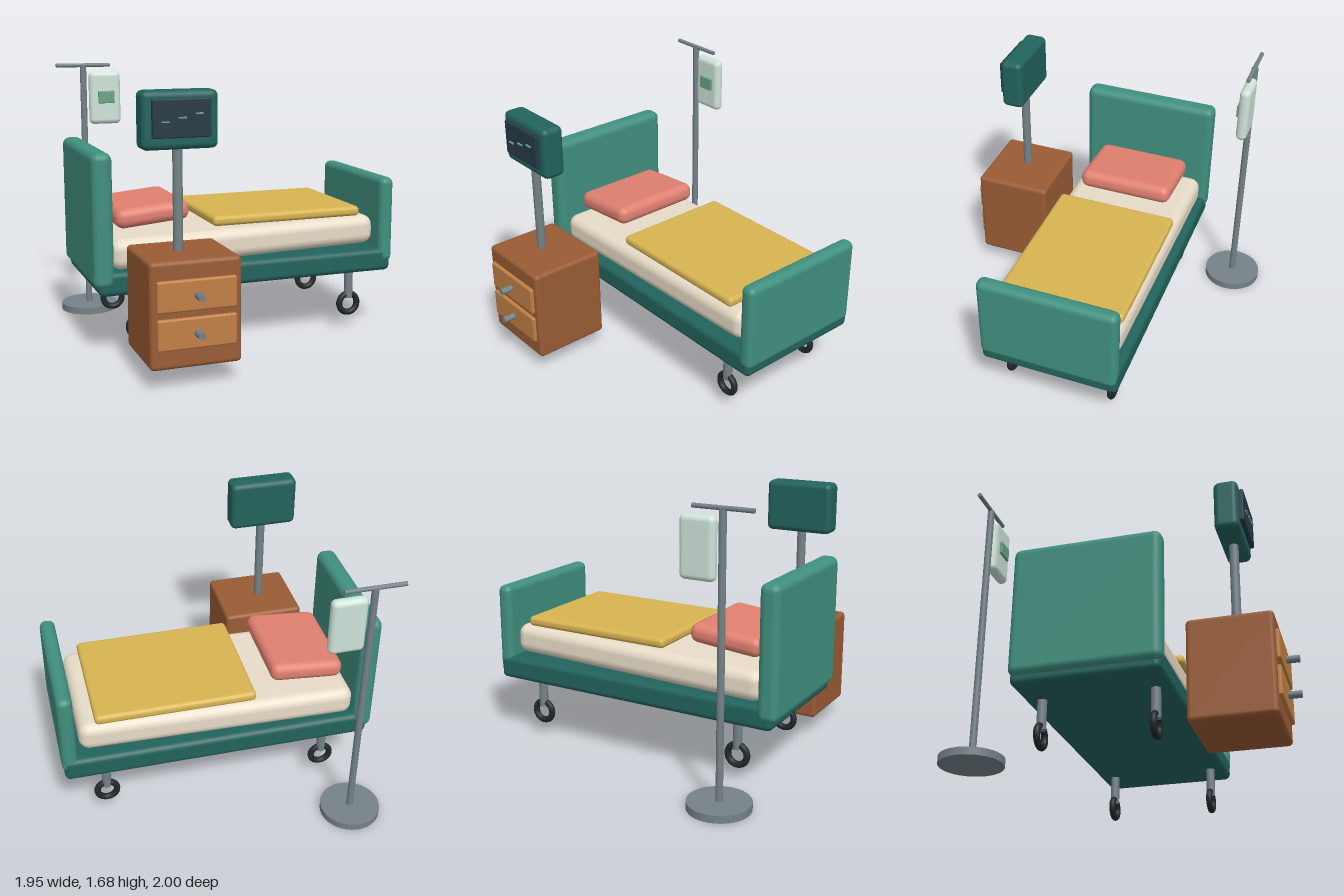
import * as THREE from 'three';
import { RoundedBoxGeometry } from 'three/addons/geometries/RoundedBoxGeometry.js';

const mat = (color) => new THREE.MeshStandardMaterial({ color });
const M = {
  frame: mat(0x22635c), board: mat(0x40907f), linen: mat(0xe8dcc8), pillow: mat(0xe08070),
  blanket: mat(0xd8b452), wood: mat(0x9a5c35), drawer: mat(0xc08045), metal: mat(0x758288),
  rubber: mat(0x22282c), screen: mat(0x263a48), bag: mat(0xcfe3da), label: mat(0x6aa587),
};

function add(parent, name, geometry, material, x, y, z) {
  const mesh = new THREE.Mesh(geometry, material);
  mesh.name = name;
  mesh.position.set(x, y, z);
  parent.add(mesh);
  return mesh;
}

// Rounded box given by its [min, max] extent on each axis
function block(parent, name, material, [x0, x1], [y0, y1], [z0, z1], radius) {
  const geometry = new RoundedBoxGeometry(x1 - x0, y1 - y0, z1 - z0, 3, radius);
  return add(parent, name, geometry, material, (x0 + x1) / 2, (y0 + y1) / 2, (z0 + z1) / 2);
}

// Upright rod from y0 to y1
function rod(parent, name, material, radius, x, z, y0, y1, sides = 20) {
  const geometry = new THREE.CylinderGeometry(radius, radius, y1 - y0, sides);
  return add(parent, name, geometry, material, x, (y0 + y1) / 2, z);
}

function group(parent, name) {
  const g = new THREE.Group();
  g.name = name;
  parent.add(g);
  return g;
}

function buildBed(parent) {
  const bed = group(parent, 'bed');
  block(bed, 'bedFrame', M.frame, [-0.95, 0.96], [0.38, 0.525], [-0.55, 0.31], 0.035);
  block(bed, 'headboard', M.board, [-0.98, -0.857], [0.43, 1.23], [-0.557, 0.322], 0.045);
  block(bed, 'footboard', M.board, [0.877, 0.972], [0.437, 0.985], [-0.545, 0.313], 0.04);

  // Bedding: mattress and pillow are slightly tilted
  const mattress = block(bed, 'mattress', M.linen, [-0.86, 0.855], [0.538, 0.722], [-0.517, 0.277], 0.065);
  mattress.rotation.z = 0.023;
  const pillow = block(bed, 'pillow', M.pillow, [-0.81, -0.35], [0.765, 0.885], [-0.425, 0.185], 0.052);
  pillow.rotation.z = 0.09;
  block(bed, 'blanket', M.blanket, [-0.23, 0.755], [0.743, 0.805], [-0.51, 0.265], 0.026);

  // Legs with ring castors
  for (const x of [-0.695, 0.705]) {
    for (const z of [0.22, -0.445]) {
      rod(bed, 'leg', M.metal, 0.028, x, z, 0.2, 0.4);
      add(bed, 'castor', new THREE.TorusGeometry(0.062, 0.02, 12, 28), M.rubber, x, 0.163, z);
    }
  }
}

function buildCabinet(parent) {
  const cabinet = group(parent, 'bedsideCabinet');
  block(cabinet, 'cabinetBody', M.wood, [-0.816, -0.29], [0.115, 0.718], [0.415, 0.904], 0.025);
  for (const y of [0.528, 0.316]) {
    block(cabinet, 'drawer', M.drawer, [-0.78, -0.326], [y - 0.088, y + 0.088], [0.88, 0.925], 0.012);
    const knob = add(cabinet, 'knob', new THREE.CylinderGeometry(0.021, 0.021, 0.09, 16),
      M.metal, -0.553, y, 0.955);
    knob.rotation.x = Math.PI / 2;
  }
}

function buildMonitor(parent) {
  const monitor = group(parent, 'monitor');
  rod(monitor, 'monitorPost', M.metal, 0.028, -0.58, 0.663, 0.7, 1.32);
  block(monitor, 'monitorCase', M.frame, [-0.796, -0.36], [1.288, 1.61], [0.588, 0.732], 0.035);
  block(monitor, 'screen', M.screen, [-0.744, -0.412], [1.356, 1.568], [0.725, 0.758], 0.008);
  // Stepped trace on the screen
  for (let i = 0; i < 3; i++) {
    add(monitor, 'trace', new THREE.BoxGeometry(0.044, 0.008, 0.012), M.label,
      -0.672 + i * 0.094, 1.445 + i * 0.021, 0.762);
  }
}

function buildDripStand(parent) {
  const stand = group(parent, 'dripStand');
  const x = -0.773, z = -0.815;
  rod(stand, 'standBase', M.metal, 0.185, x, z, 0, 0.045, 40);
  rod(stand, 'standPole', M.metal, 0.021, x, z, 0.03, 1.665);
  const bar = add(stand, 'crossbar', new THREE.CylinderGeometry(0.013, 0.013, 0.36, 14), M.metal, x, 1.67, z);
  bar.rotation.z = Math.PI / 2;
  block(stand, 'fluidBag', M.bag, [-0.737, -0.525], [1.275, 1.626], [-0.85, -0.782], 0.032);
  block(stand, 'bagLabel', M.label, [-0.682, -0.572], [1.416, 1.498], [-0.79, -0.767], 0.005);
}

export function createModel() {
  const model = new THREE.Group();
  model.name = 'hospitalBedSet';
  buildBed(model);
  buildCabinet(model);
  buildMonitor(model);
  buildDripStand(model);
  return model;
}
